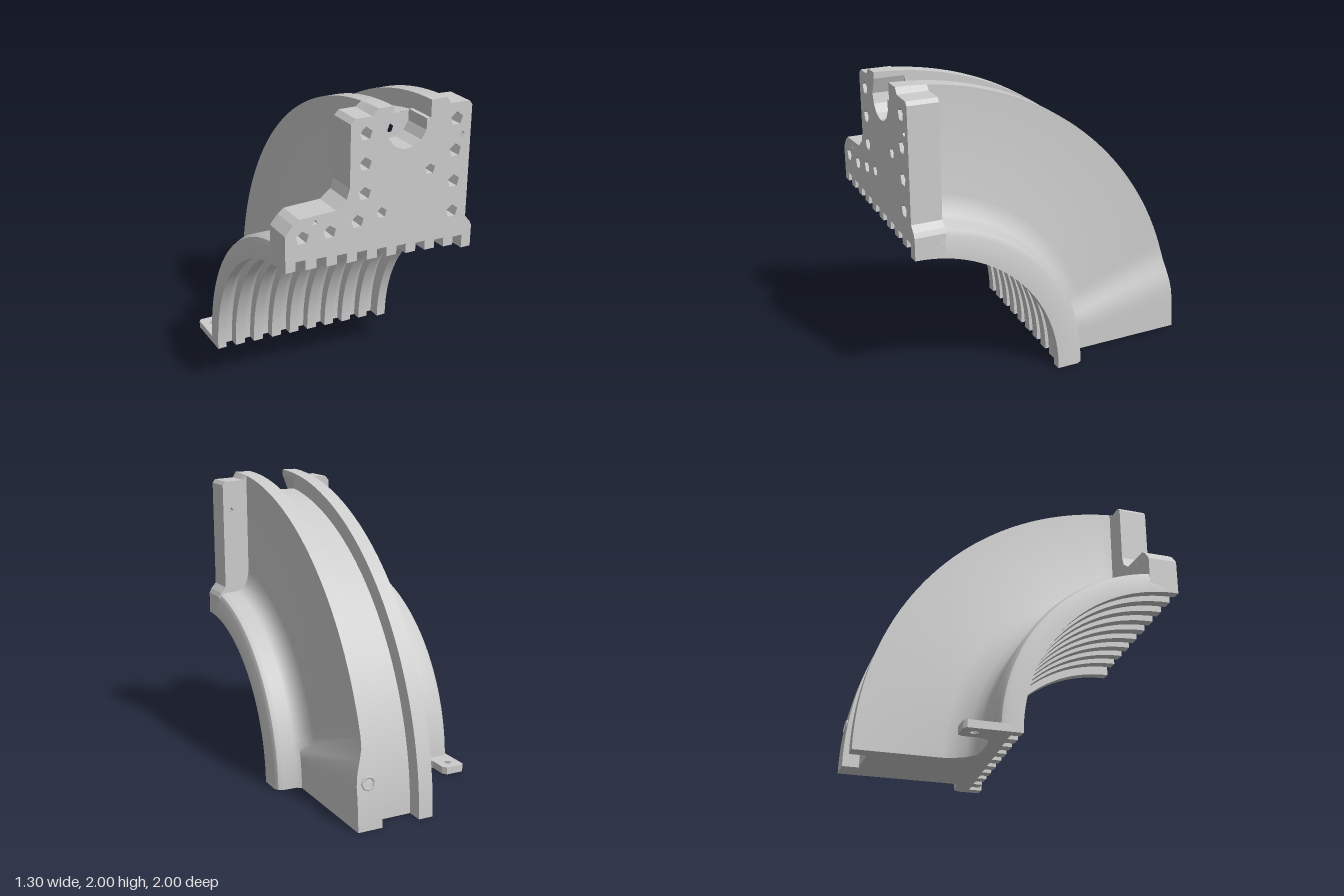
import * as THREE from 'three';
import { toCreasedNormals } from 'three/addons/utils/BufferGeometryUtils.js';

// The casting is a quarter ring about the x-parallel axis y = 0, z = 1.
const BACK = 0.8; // rear plane of the front plate
const SEGMENTS = 40;
const material = new THREE.MeshStandardMaterial({ color: 0xcccccc });
const thinMaterial = new THREE.MeshStandardMaterial({ color: 0xcccccc, side: THREE.DoubleSide });

const points = (list) => list.map(([x, y]) => new THREE.Vector2(x, y));

function polygon(x, y, r, sides) {
  return Array.from({ length: sides }, (_, i) => {
    const a = Math.PI / 2 + (i * 2 * Math.PI) / sides;
    return new THREE.Vector2(x + r * Math.cos(a), y + r * Math.sin(a));
  });
}

function extrude(shape, z, depth, steps = 1) {
  const g = new THREE.ExtrudeGeometry(shape, { depth, steps, bevelEnabled: false });
  return g.translate(0, 0, z);
}

// Stepped bore: nine grooves, narrowing slightly towards the right end
function boreProfile() {
  const list = [[-0.65, 1.085]];
  for (let i = 0; i < 9; i++) {
    const x = -0.585 + i * 0.1375;
    const groove = 1.11 - 0.065 * (x + 0.033);
    const after = i < 8 ? 1.05 - 0.06 * (x + 0.1) : 0.985;
    const before = 1.05 - 0.06 * (x - 0.035);
    list.push([x, before], [x, groove], [x + 0.067, groove], [x + 0.067, after]);
  }
  list.push([0.65, 0.985]);
  return list;
}

// Outside of the ring: right collar, flange, rim channel, flange, left collar
const outerProfile = [
  [0.65, 1.13], [0.635, 1.16], [0.6, 1.175], [0.51, 1.18], [0.47, 1.2], [0.435, 1.25], [0.42, 1.32],
  [0.42, 2], [0.31, 2], [0.31, 1.89], [0.05, 1.89], [0.05, 2], [-0.05, 2],
  [-0.05, 1.42], [-0.07, 1.35], [-0.11, 1.28], [-0.17, 1.235], [-0.25, 1.225],
  [-0.44, 1.235], [-0.61, 1.235], [-0.64, 1.22], [-0.65, 1.19],
];

// The right flange thickens near the foot
function flangeShift(x, r, angle) {
  if (x < 0.41 || x > 0.48 || r < 1.19) return 0;
  const full = 0.06 * THREE.MathUtils.clamp((angle - 1.305) / 0.1, 0, 1);
  return x > 0.425 ? Math.min(full, 0.48 - x) : full;
}

function ringGeometry(profile, boreCount) {
  const n = profile.length;
  const pos = [];
  const index = [];
  for (let i = 0; i <= SEGMENTS; i++) {
    profile.forEach(([x, r], k) => {
      const start = k < boreCount ? 0 : Math.asin((1 - BACK) / r);
      const a = start + (Math.PI / 2 - start) * (i / SEGMENTS);
      pos.push(x + flangeShift(x, r, a), r * Math.cos(a), 1 - r * Math.sin(a));
    });
  }
  for (let i = 0; i < SEGMENTS; i++) {
    for (let k = 0; k < n; k++) {
      const a = i * n + k;
      const b = i * n + ((k + 1) % n);
      index.push(a, a + n, b, b, a + n, b + n);
    }
  }
  const g = new THREE.BufferGeometry();
  g.setAttribute('position', new THREE.Float32BufferAttribute(pos, 3));
  g.setIndex(index);
  return toCreasedNormals(g, 0.6);
}

export function createModel() {
  const group = new THREE.Group();
  const add = (name, geometry, mat = material) => {
    const mesh = new THREE.Mesh(geometry, mat);
    mesh.name = name;
    group.add(mesh);
    return mesh;
  };
  const bore = boreProfile();
  const profile = [...bore, ...outerProfile];

  // Quarter ring and its flat foot
  add('quarterRing', ringGeometry(profile, bore.length));
  const footOutline = profile.map(([x, r]) => [x + flangeShift(x, r, Math.PI / 2), r]);
  const foot = new THREE.ShapeGeometry(new THREE.Shape(points(footOutline)));
  foot.rotateX(-Math.PI / 2).translate(0, 0, 1);
  add('footFace', foot, thinMaterial);

  // Front plate with rim channel and round pocket
  const pocket = [];
  for (let i = 0; i <= 6; i++) {
    const a = 0.3 + (i / 6) * (Math.PI - 0.3);
    pocket.push([0.15 + 0.138 * Math.cos(a), 1.86 - 0.138 * Math.sin(a)]);
  }
  const plate = new THREE.Shape(points([
    ...bore,
    [0.65, 1.13], [0.635, 1.16], [0.6, 1.2], [0.6, 1.93], [0.58, 1.955], [0.445, 1.96], [0.42, 2],
    [0.31, 2], [0.31, 1.89], [0.282, 1.89],
    ...pocket,
    [0.05, 1.96], [0.05, 2], [-0.05, 2], [-0.09, 1.96], [-0.2, 1.96], [-0.23, 1.93],
    [-0.23, 1.54], [-0.25, 1.475], [-0.32, 1.42], [-0.56, 1.41], [-0.6, 1.38], [-0.65, 1.32],
  ]));

  // Blind bolt holes, each closed by a plug at depth
  const bolts = [
    [-0.54, 1.29], [-0.36, 1.29], [-0.175, 1.32], [-0.13, 1.49], [-0.13, 1.675], [-0.13, 1.86],
    [0.495, 1.255], [0.495, 1.455], [0.495, 1.655], [0.495, 1.855],
  ].map(([x, y]) => [x, y, 0.044]);
  bolts.push([-0.01, 1.345, 0.036], [0.32, 1.565, 0.036]);
  for (const [x, y, r] of bolts) {
    const outline = polygon(x, y, r, 5);
    plate.holes.push(new THREE.Path(outline));
    add('boltHoleBottom', extrude(new THREE.Shape(outline), BACK, 0.1));
  }
  // Small pin holes right through the plate
  for (const [x, y, sides] of [[-0.455, 1.37, 3], [0.54, 1.75, 4]]) {
    plate.holes.push(new THREE.Path(polygon(x, y, 0.02, sides)));
  }
  const plateGeometry = extrude(plate, BACK, 1 - BACK, 3);
  const p = plateGeometry.attributes.position;
  for (let i = 0; i < p.count; i++) { // top follows the rim curve
    const dz = 1 - p.getZ(i);
    p.setY(i, Math.min(p.getY(i), Math.sqrt(4 - dz * dz)));
  }
  plateGeometry.computeVertexNormals();
  add('frontPlate', plateGeometry);

  // Pocket floor with one blind hole
  const floor = new THREE.Shape(points([
    [-0.03, 1.7], [0.315, 1.7], [0.315, 1.879], [0.05, 1.879], [0.05, 1.98], [-0.03, 1.98],
  ]));
  const pocketHole = polygon(0.145, 1.79, 0.032, 5);
  floor.holes.push(new THREE.Path(pocketHole));
  add('pocketFloor', new THREE.ShapeGeometry(floor).translate(0, 0, BACK), thinMaterial);
  add('pocketHole', extrude(new THREE.Shape(pocketHole), BACK - 0.1, 0.04));

  // Mounting tab at the foot, drawn as x and distance from the axis
  const tab = new THREE.Shape(points([
    [-0.65, 1.15], [-0.4, 1.15], [-0.4, 1.235], [-0.44, 1.24], [-0.47, 1.26], [-0.49, 1.3],
    [-0.49, 1.42], [-0.51, 1.45], [-0.63, 1.45], [-0.65, 1.43],
  ]));
  tab.holes.push(new THREE.Path(polygon(-0.57, 1.365, 0.032, 4)));
  add('mountingTab', extrude(tab, 0, 0.05).rotateX(-Math.PI / 2).translate(0, 0, 1));

  // Bolt seat on the rim of the thickened flange
  const seat = add('rimBoltSeat', new THREE.TorusGeometry(0.04, 0.01, 5, 8));
  seat.position.set(0.4, 2 * Math.cos(1.42), 1 - 2 * Math.sin(1.42));
  seat.rotation.x = Math.PI / 2 - 1.42 + Math.PI;
  seat.rotation.x = -(Math.PI - (Math.PI / 2 - 1.42));

  return group;
}
